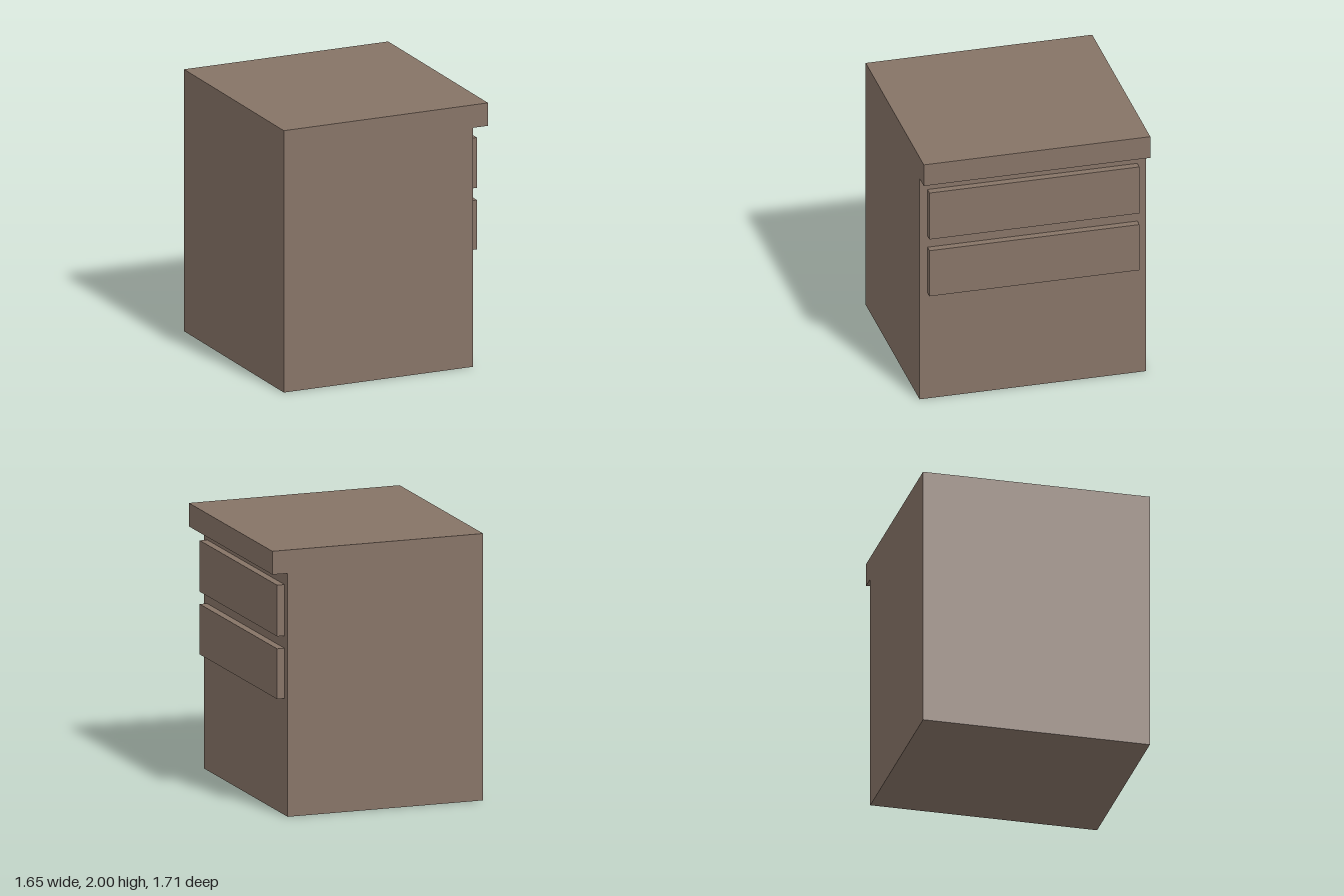
import * as THREE from 'three';

export function createModel() {
  const group = new THREE.Group();
  const wood = new THREE.MeshStandardMaterial({ color: 0x867366 });
  wood.name = 'brown wood';

  const depth = 1.714;
  const back = -0.825, face = 0.705, lip = 0.825;
  const lipBottom = 1.825, top = 2;

  // Cabinet body with its overhanging top, one profile extruded along z
  const profile = new THREE.Shape([
    [back, 0], [face, 0], [face, lipBottom], [lip, lipBottom], [lip, top], [back, top],
  ].map(([x, y]) => new THREE.Vector2(x, y)));
  const bodyGeometry = new THREE.ExtrudeGeometry(profile, { depth, bevelEnabled: false });
  bodyGeometry.translate(0, 0, -depth / 2);
  const body = new THREE.Mesh(bodyGeometry, wood);
  body.name = 'cabinetBody';
  group.add(body);

  // Drawer fronts standing out from the +x face
  const drawers = [
    ['upperDrawer', 1.343, 1.727],
    ['lowerDrawer', 0.873, 1.25],
  ];
  const drawerOut = 0.763, drawerIn = face - 0.01;
  for (const [name, y0, y1] of drawers) {
    const drawer = new THREE.Mesh(
      new THREE.BoxGeometry(drawerOut - drawerIn, y1 - y0, 1.588), wood);
    drawer.position.set((drawerOut + drawerIn) / 2, (y0 + y1) / 2, 0.003);
    drawer.name = name;
    group.add(drawer);
  }

  return group;
}
